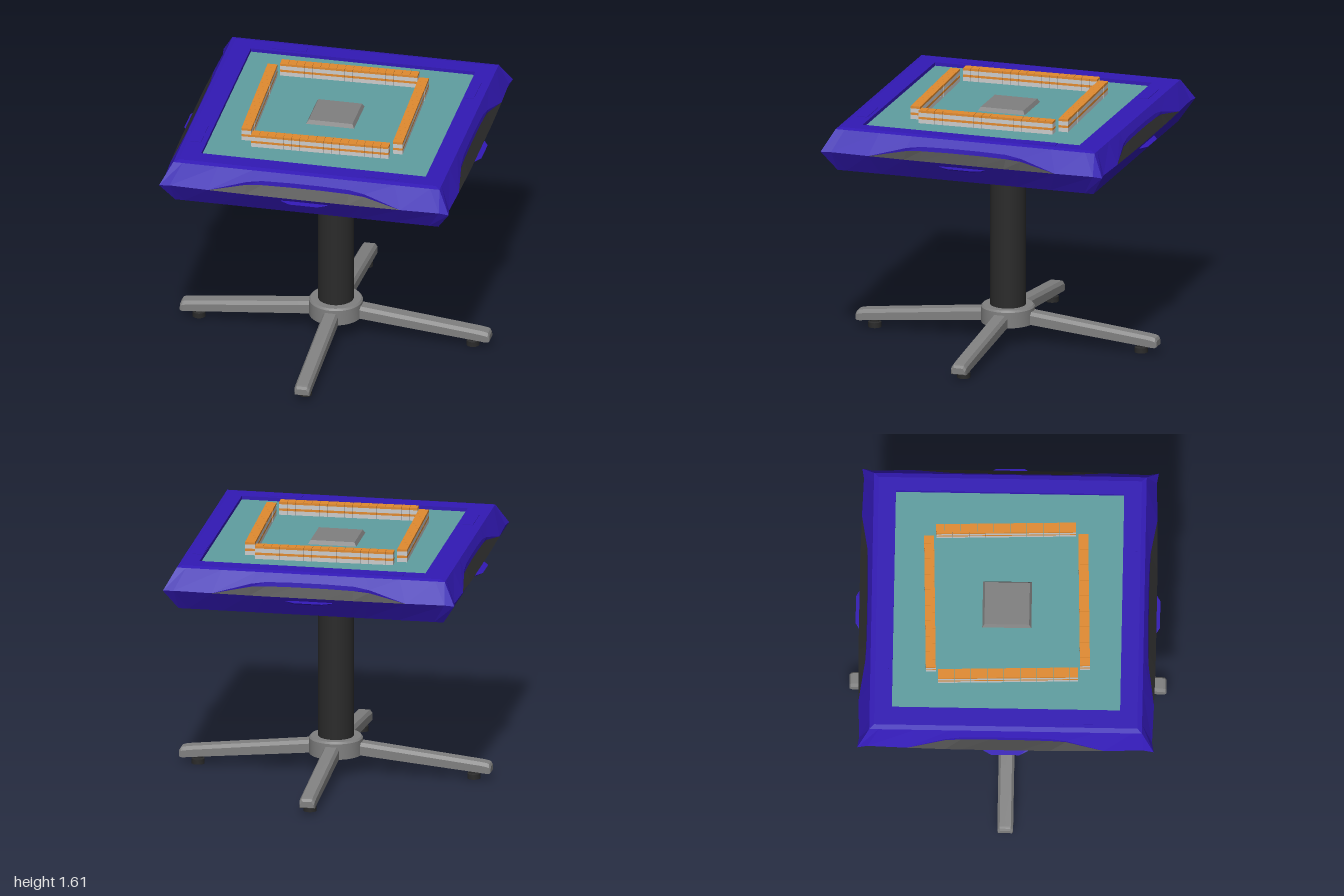
import * as THREE from 'three';
import { mergeGeometries, toCreasedNormals } from 'three/addons/utils/BufferGeometryUtils.js';

const mat = (color, extra = {}) => new THREE.MeshStandardMaterial({ color, ...extra });
const blue = mat(0x3219b5, { flatShading: true, side: THREE.DoubleSide });
const black = mat(0x2a2a2a, { side: THREE.DoubleSide });
const blackFlat = mat(0x2a2a2a, { flatShading: true, side: THREE.DoubleSide });
const felt = mat(0x5f9ea0);
const metal = mat(0x808080);
const tileBack = mat(0xe08a30);
const tileFace = mat(0xcccccc);

function add(parent, name, geometry, material, x = 0, y = 0, z = 0) {
  const mesh = new THREE.Mesh(geometry, material);
  mesh.name = name;
  mesh.position.set(x, y, z);
  parent.add(mesh);
  return mesh;
}

// Surface through rows of [x, y, z] points, rows running top to bottom
function strip(rows) {
  const n = rows[0].length, index = [];
  for (let r = 0; r < rows.length - 1; r++) {
    for (let k = 0; k < n - 1; k++) {
      const a = r * n + k, c = a + n;
      index.push(a, c, a + 1, a + 1, c, c + 1);
    }
  }
  const g = new THREE.BufferGeometry();
  g.setAttribute('position', new THREE.Float32BufferAttribute(rows.flat(2), 3));
  g.setIndex(index);
  g.computeVertexNormals();
  return g;
}

// Four copies of a part, turned about the y axis
function fourTimes(parent, name, build) {
  for (let i = 0; i < 4; i++) {
    const g = new THREE.Group();
    g.name = name;
    g.rotation.y = i * Math.PI / 2;
    build(g, i);
    parent.add(g);
  }
}

// One side of the cabinet: sloped faces with an arched dark panel
function cabinetSide(g) {
  const W = 0.935;
  // x, arch height, panel top height, lower edge depth
  const half = [[0.935, 1.41, 1.41, 0.935], [0.87, 1.41, 1.41, 0.924], [0.62, 1.41, 1.41, 0.932],
    [0.38, 1.475, 1.455, 0.937], [0.28, 1.49, 1.462, 0.938], [0.1, 1.494, 1.465, 0.938]];
  const cols = [...half.map(([x, ...r]) => [-x, ...r]), ...half.slice().reverse()];
  const slope = (y) => (y - 1.41) * 0.54;
  const rim = cols.map(([x]) => [x * 0.86 / W, 1.545, 0.86]);
  const arch = cols.map(([x, a, , z]) => [x, a, z - slope(a) - (a > 1.41 ? 0.008 : 0)]);
  const panelTop = cols.map(([x, , p, z]) => [x, p, z - slope(p) - (p > 1.41 ? 0.02 : 0)]);
  const edge = cols.map(([x, , , z]) => [x, 1.41, z]);
  const base = cols.map(([x]) => [x * 0.85 / W, 1.275, 0.85]);
  add(g, 'upperSide', strip([rim, arch, panelTop]), blue);
  add(g, 'sidePanel', strip([panelTop, edge]), blackFlat);
  add(g, 'lowerSide', strip([edge, base]), blue);
  add(g, 'rimBevel', strip([[[-0.83, 1.553, 0.83], [0.83, 1.553, 0.83]],
    [[-0.86, 1.545, 0.86], [0.86, 1.545, 0.86]]]), blue);
  // Drawer lip under the edge
  const xs = [-0.15, -0.09, 0.09, 0.15];
  add(g, 'drawerLip', strip([
    xs.map((x) => [x, 1.387, 0.91]),
    xs.map((x) => [x, 1.382, Math.abs(x) > 0.1 ? 0.925 : 0.96]),
    xs.map((x) => [x * 0.75, 1.357, 0.9])]), blue);
  // Raised cover on the rim
  add(g, 'rimCover', new THREE.BoxGeometry(0.22, 0.006, 0.066), blue, 0.47, 1.553, 0.777);
}

// Row of tiles, two layers high
function tileWall(g) {
  const backs = [], faces = [], pitch = 0.052, h = 0.0425;
  for (let layer = 0; layer < 2; layer++) {
    for (let i = 0; i < 17; i++) {
      const x = (i - 8) * pitch, y = 1.53 + layer * h;
      faces.push(new THREE.BoxGeometry(0.0505, 0.027, 0.063).translate(x, y + 0.0135, 0));
      backs.push(new THREE.BoxGeometry(0.0505, 0.0145, 0.063).translate(x, y + 0.0343, 0));
    }
  }
  const wall = new THREE.Group();
  wall.name = 'tileRow';
  wall.position.set(0.014, 0, 0.486);
  wall.rotation.y = 0.03;
  add(wall, 'tileFaces', mergeGeometries(faces), tileFace);
  add(wall, 'tileBacks', mergeGeometries(backs), tileBack);
  g.add(wall);
}

// Sloping leg along +x: an inverted channel closed at its tip
function legGeometry() {
  // distance, bottom, top, channel roof, half width
  const stations = [[0.14, 0.125, 0.206, 0.18, 0.05], [0.935, 0.05, 0.119, 0.092, 0.05],
    [0.972, 0.046, 0.113, 0.088, 0.05], [0.973, 0.046, 0.113, 0.046, 0.05],
    [0.99, 0.046, 0.106, 0.046, 0.049], [1.0, 0.052, 0.09, 0.052, 0.044]];
  const pos = [], index = [], n = 10;
  for (const [x, b, t, roof, h] of stations) {
    const s = t - 0.022, q = h - 0.012;
    const ring = [[-h, b], [-h, s], [-h * 0.7, t], [h * 0.7, t], [h, s], [h, b], [q, b], [q, roof], [-q, roof], [-q, b]];
    for (const [z, y] of ring) pos.push(x, y, z);
  }
  for (let i = 0; i < stations.length - 1; i++) {
    for (let k = 0; k < n; k++) {
      const a = i * n + k, b = i * n + (k + 1) % n;
      index.push(a, b, b + n, a, b + n, a + n);
    }
  }
  const e = (stations.length - 1) * n;
  for (let k = 1; k < 5; k++) index.push(e, e + k, e + k + 1);
  const g = new THREE.BufferGeometry();
  g.setAttribute('position', new THREE.Float32BufferAttribute(pos, 3));
  g.setIndex(index);
  return toCreasedNormals(g, 0.5);
}

const lathe = (pts, seg = 40) =>
  toCreasedNormals(new THREE.LatheGeometry(pts.map((p) => new THREE.Vector2(...p)), seg), 0.5);

export function createModel() {
  const model = new THREE.Group();
  model.name = 'gameTable';

  // Cabinet
  fourTimes(model, 'cabinetSide', cabinetSide);
  add(model, 'cabinetBottom', new THREE.BoxGeometry(1.7, 0.01, 1.7), blue, 0, 1.28, 0);

  // Top rim with the opening for the playing surface
  const rim = new THREE.Shape();
  rim.moveTo(-0.83, -0.83).lineTo(0.83, -0.83).lineTo(0.83, 0.83).lineTo(-0.83, 0.83).closePath();
  const hole = new THREE.Path();
  hole.moveTo(-0.71, -0.72).lineTo(-0.71, 0.72).lineTo(0.74, 0.72).lineTo(0.74, -0.72).closePath();
  rim.holes.push(hole);
  const rimGeometry = new THREE.ExtrudeGeometry(rim, { depth: 0.05, bevelEnabled: false });
  add(model, 'topRim', rimGeometry.rotateX(-Math.PI / 2), blue, 0, 1.503, 0);
  add(model, 'playingSurface', new THREE.BoxGeometry(1.46, 0.02, 1.45), felt, 0.015, 1.52, 0);

  // Centre console: a low bevelled square
  const console4 = toCreasedNormals(new THREE.CylinderGeometry(0.141 * Math.SQRT2, 0.155 * Math.SQRT2, 0.025, 4)
    .rotateY(Math.PI / 4), 0.3);
  add(model, 'centreConsole', console4, metal, -0.005, 1.542, -0.005);

  // Tile walls
  const walls = new THREE.Group();
  walls.name = 'tileWalls';
  walls.position.set(-0.007, 0, -0.006);
  fourTimes(walls, 'tileWall', tileWall);
  model.add(walls);

  // Column and hub
  add(model, 'column', new THREE.CylinderGeometry(0.113, 0.113, 1.13, 40), black, 0, 0.715, 0);
  add(model, 'hub', lathe([[0.113, 0.12], [0.17, 0.12], [0.17, 0.222], [0.16, 0.234], [0.113, 0.234], [0.113, 0.12]]), metal);

  // Legs with levelling feet
  const legShape = legGeometry();
  const footShape = lathe([[0, 0], [0.042, 0], [0.042, 0.033], [0.03, 0.038], [0.03, 0.095], [0, 0.095]], 20);
  fourTimes(model, 'leg', (g) => {
    add(g, 'legBeam', legShape, metal);
    add(g, 'foot', footShape, black, 0.885, 0, 0);
  });
  return model;
}
